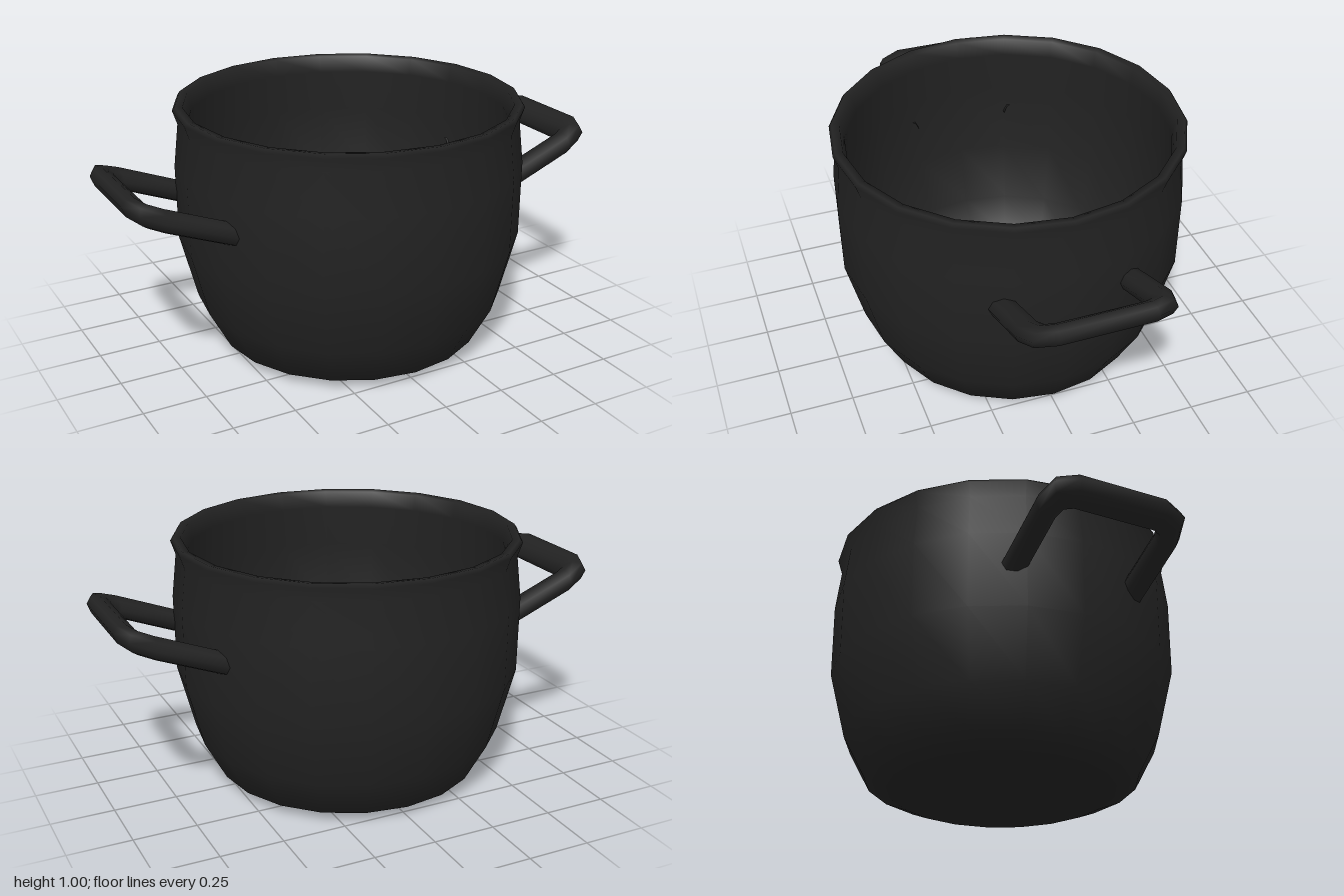
import * as THREE from 'three';

const SIDES = 8;

// Sweep a round section along a flat path in x/z, then slope it upward with x
function handleGeometry(path, radiusZ, radiusY) {
  const positions = [], index = [];
  const up = new THREE.Vector3(0, 1, 0);
  path.forEach((p, i) => {
    const before = p.clone().sub(path[Math.max(i - 1, 0)]).normalize();
    const after = path[Math.min(i + 1, path.length - 1)].clone().sub(p).normalize();
    const tangent = before.clone().add(after).normalize();
    const miter = 1 / tangent.dot(before.lengthSq() ? before : after);
    const side = up.clone().cross(tangent);
    for (let j = 0; j < SIDES; j++) {
      const t = (j / SIDES) * Math.PI * 2;
      const v = p.clone().addScaledVector(side, Math.cos(t) * radiusZ * miter);
      positions.push(v.x, 0.655 + 0.4 * (v.x - 0.66) + Math.sin(t) * radiusY, v.z);
      if (i < path.length - 1) {
        const a = i * SIDES + j, b = i * SIDES + (j + 1) % SIDES;
        index.push(a, b, a + SIDES, b, b + SIDES, a + SIDES);
      }
    }
  });
  const geometry = new THREE.BufferGeometry();
  geometry.setAttribute('position', new THREE.Float32BufferAttribute(positions, 3));
  geometry.setIndex(index);
  geometry.computeVertexNormals();
  return geometry;
}

export function createModel() {
  const model = new THREE.Group();
  model.name = 'cookingPot';
  const iron = new THREE.MeshStandardMaterial({ color: 0x222222 });
  iron.name = 'blackIron';

  // Pot: outside from the base up, over the flared rim and down the inside
  const profile = [
    [0, 0], [0.44, 0], [0.535, 0.04], [0.62, 0.2], [0.685, 0.46], [0.687, 0.76],
    [0.667, 0.93], [0.685, 0.985], [0.675, 1.0], [0.645, 0.995],
    [0.63, 0.93], [0.65, 0.76], [0.645, 0.46], [0.585, 0.22], [0.5, 0.08], [0.4, 0.04], [0, 0.04],
  ].map(([x, y]) => new THREE.Vector2(x, y));
  const pot = new THREE.Mesh(new THREE.LatheGeometry(profile, 20), iron);
  pot.name = 'potBody';
  model.add(pot);

  // Loop handles on both sides, with bevelled corners
  const half = [[0.605, 0.245], [0.87, 0.245], [0.928, 0.225], [0.95, 0.17]];
  const path = [...half, ...half.map(([x, z]) => [x, -z]).reverse()]
    .map(([x, z]) => new THREE.Vector3(x, 0, z));
  const geometry = handleGeometry(path, 0.05, 0.046);
  ['leftHandle', 'rightHandle'].forEach((name, i) => {
    const handle = new THREE.Mesh(geometry, iron);
    handle.name = name;
    handle.rotation.y = i * Math.PI;
    model.add(handle);
  });
  return model;
}
